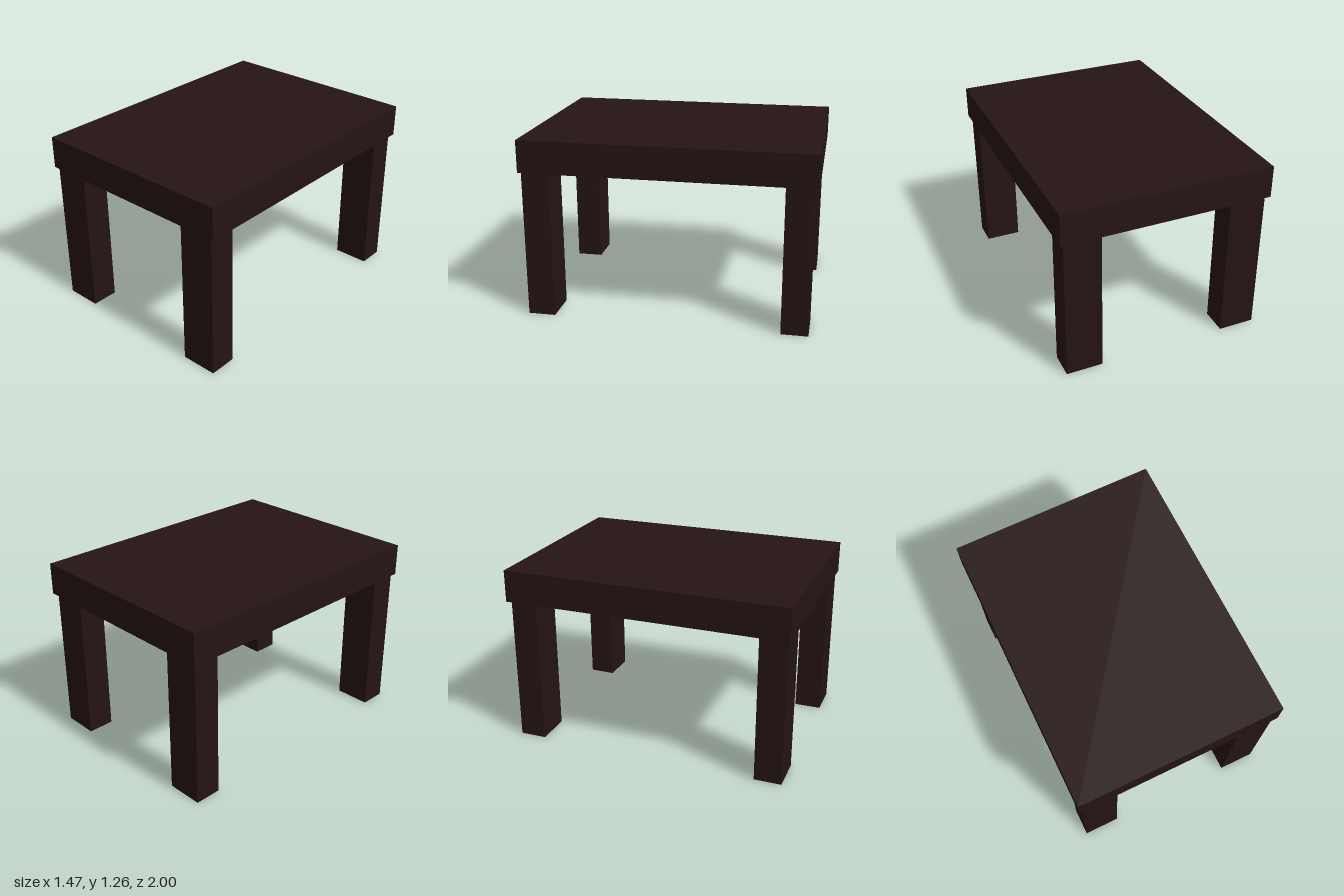
import * as THREE from 'three';

export function createModel() {
  const group = new THREE.Group();
  group.name = 'table';
  const wood = new THREE.MeshStandardMaterial({ color: 0x261414 });

  // Box given by its lower and upper corners
  const addBox = (name, min, max) => {
    const size = max.map((v, i) => v - min[i]);
    const mesh = new THREE.Mesh(new THREE.BoxGeometry(...size), wood);
    mesh.position.set(...max.map((v, i) => (v + min[i]) / 2));
    mesh.name = name;
    group.add(mesh);
  };

  // Thick solid top
  const underside = 1.035;
  addBox('tableTop', [-0.736, underside, -1], [0.736, 1.26, 1]);

  // Four rectangular legs, set slightly in from the edges
  for (const [end, z0, z1] of [['front', 0.794, 0.984], ['back', -0.973, -0.786]]) {
    addBox(end + 'LeftLeg', [0.454, 0, z0], [0.71, underside, z1]);
    addBox(end + 'RightLeg', [-0.71, 0, z0], [-0.454, underside, z1]);
  }
  return group;
}
